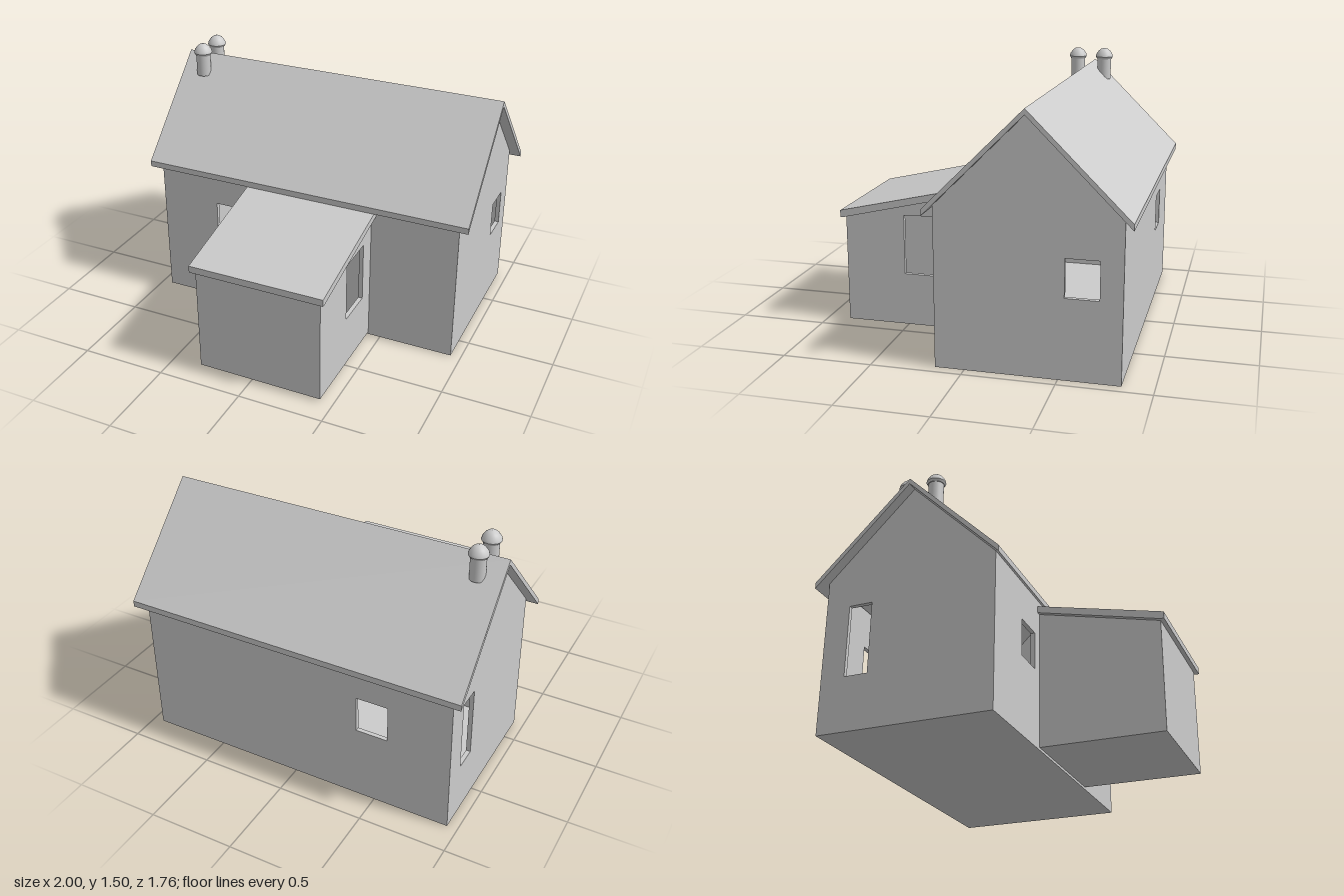
import * as THREE from 'three';

const material = new THREE.MeshStandardMaterial({ color: 0xcccccc, flatShading: true, side: THREE.DoubleSide });
const smooth = new THREE.MeshStandardMaterial({ color: 0xcccccc, side: THREE.DoubleSide });
const T = 0.025; // wall thickness

const rect = (a0, b0, a1, b1) => [[a0, b0], [a1, b0], [a1, b1], [a0, b1]];

function extrude(outline, holes, depth) {
  const toPoints = (list) => list.map(([a, b]) => new THREE.Vector2(a, b));
  const shape = new THREE.Shape(toPoints(outline));
  for (const h of holes) shape.holes.push(new THREE.Path(toPoints(h)));
  return new THREE.ExtrudeGeometry(shape, { depth, bevelEnabled: false });
}

function add(group, name, geometry, mat = material) {
  const mesh = new THREE.Mesh(geometry, mat);
  mesh.name = name;
  group.add(mesh);
  return mesh;
}

// Panel drawn in (x, y), spanning z0..z1
function panelXY(group, name, outline, z0, z1, holes = []) {
  return add(group, name, extrude(outline, holes, z1 - z0).translate(0, 0, z0));
}

// Panel drawn in (z, y), spanning x0..x1
function panelZY(group, name, outline, x0, x1, holes = []) {
  const flip = (list) => list.map(([z, y]) => [-z, y]);
  const geometry = extrude(flip(outline), holes.map(flip), x1 - x0);
  return add(group, name, geometry.rotateY(Math.PI / 2).translate(x0, 0, 0));
}

function box(group, name, x0, y0, z0, x1, y1, z1) {
  const geometry = new THREE.BoxGeometry(x1 - x0, y1 - y0, z1 - z0);
  return add(group, name, geometry.translate((x0 + x1) / 2, (y0 + y1) / 2, (z0 + z1) / 2));
}

function makeHouse() {
  const g = new THREE.Group();
  g.name = 'mainHouse';
  const W = 0.94, front = 0.16, back = -0.83, ridge = -0.335, eave = 0.885;
  box(g, 'floor', -W, 0, back, W, 0.02, front);

  // Long walls with facing windows
  const window = rect(-0.575, 0.445, -0.39, 0.66);
  panelXY(g, 'frontWall', rect(-W, 0, W, eave), front - T, front, [window]);
  panelXY(g, 'backWall', rect(-W, 0, W, eave), back, back + T, [window]);

  // Gable walls
  const gable = [[front, 0], [front, eave], [ridge, 1.38], [back, eave], [back, 0]];
  panelZY(g, 'leftGable', gable, W - T, W, [rect(-0.71, 0.445, -0.53, 0.655)]);
  panelZY(g, 'rightGable', gable, -W, -W + T, [rect(-0.69, 0.31, -0.555, 0.72)]);

  // Pitched roof as one folded slab
  panelZY(g, 'mainRoof', [
    [0.2, 0.842], [0.2, 0.877], [ridge, 1.412], [-0.88, 0.872], [-0.88, 0.837], [ridge, 1.38],
  ], -1, 1);
  return g;
}

function makePorch() {
  const g = new THREE.Group();
  g.name = 'porch';
  const x0 = -0.32, x1 = 0.425, y0 = 0.015, z0 = 0.16, z1 = 0.855;
  box(g, 'porchFloor', x0, y0, z0, x1, y0 + 0.02, z1);
  panelXY(g, 'porchFrontWall', rect(x0, y0, x1, 0.645), z1 - T, z1);
  const side = [[z0, y0], [z0, 0.808], [z1, 0.645], [z1, y0]];
  panelZY(g, 'porchLeftWall', side, x1 - T, x1, [[[0.27, 0.32], [0.505, 0.32], [0.505, 0.667], [0.27, 0.673]]]);
  panelZY(g, 'porchRightWall', side, x0, x0 + T);
  // Lean-to roof
  panelZY(g, 'porchRoof', [[z0, 0.807], [z0, 0.847], [0.88, 0.68], [0.88, 0.64], [z1, 0.642]], -0.345, 0.452);
  return g;
}

function makeChimney(z) {
  const g = new THREE.Group();
  g.name = 'chimney';
  add(g, 'chimneyPipe', new THREE.CylinderGeometry(0.043, 0.043, 0.135, 24).translate(0, 1.3725, 0), smooth);
  add(g, 'chimneyRim', new THREE.CylinderGeometry(0.055, 0.047, 0.014, 24).translate(0, 1.44, 0), smooth);
  // Domed cap
  const dome = [[0.055, 1.447], [0.051, 1.462], [0.037, 1.483], [0.02, 1.496], [0, 1.5]];
  add(g, 'chimneyCap', new THREE.LatheGeometry(dome.map(([r, y]) => new THREE.Vector2(r, y)), 24), smooth);
  g.position.set(-0.86, 0, z);
  return g;
}

export function createModel() {
  const house = new THREE.Group();
  house.name = 'house';
  house.add(makeHouse(), makePorch());
  for (const z of [-0.245, -0.415]) house.add(makeChimney(z));
  return house;
}
